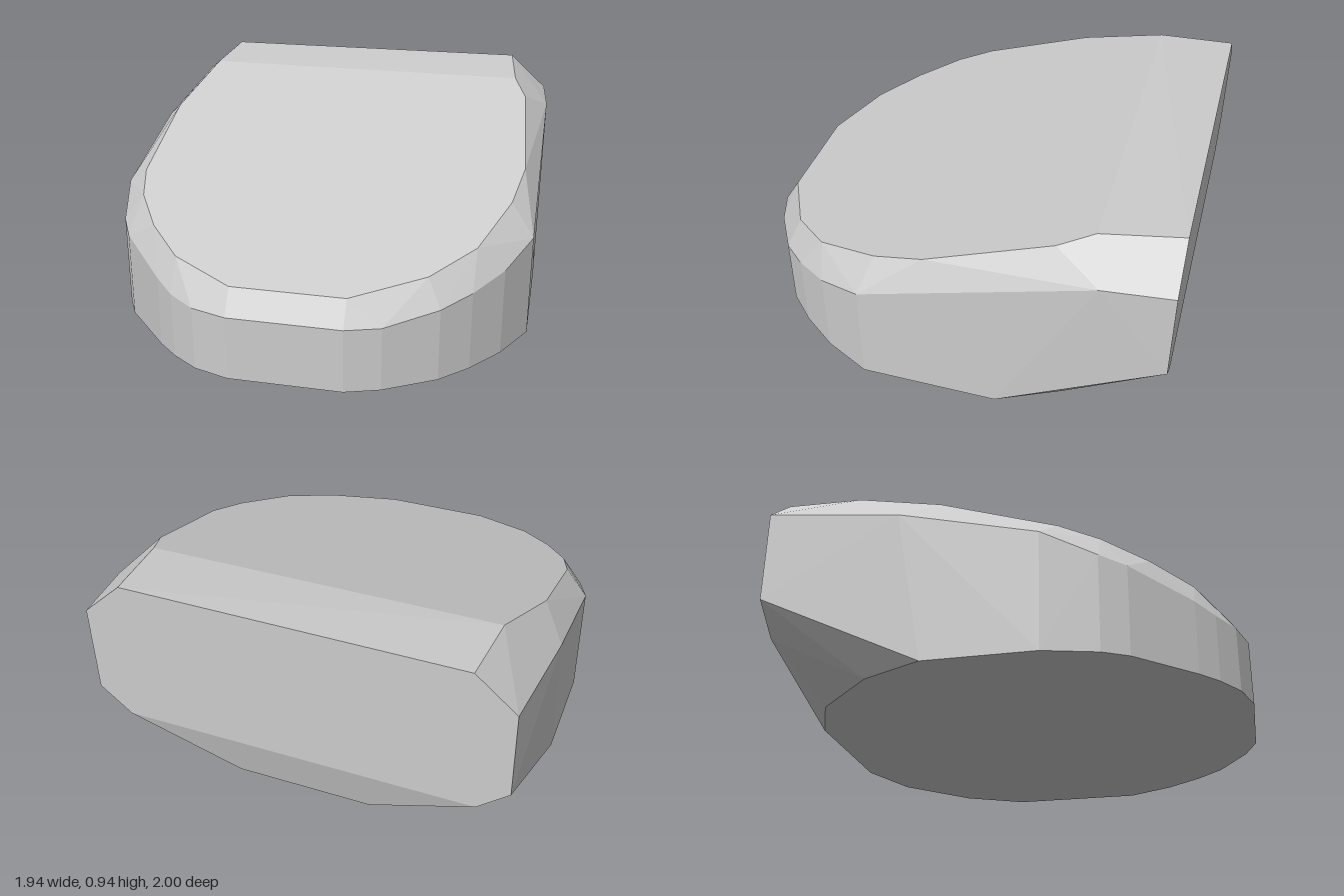
import * as THREE from 'three';
import { ConvexGeometry } from 'three/addons/geometries/ConvexGeometry.js';

// Height of the sloping top plane at depth z
const slopeY = (z) => 0.91 - 0.323 * (z + 0.65);

export function createModel() {
  const points = [];
  const add = (x, y, z) => points.push(new THREE.Vector3(x, y, z));

  // Edge of the sloping top: x, z
  [
    [-0.78, -0.65], [-0.865, -0.25], [-0.86, 0.26], [-0.81, 0.43], [-0.69, 0.62],
    [-0.53, 0.79], [-0.25, 0.93], [0.25, 0.93], [0.56, 0.77], [0.74, 0.58],
    [0.86, 0.28], [0.9, 0.05], [0.86, -0.5], [0.8, -0.65],
  ].forEach(([x, z]) => add(x, slopeY(z), z));

  // Upright wall around the front: x, z, height where the bevel starts
  [
    [-0.975, -0.4, 0.68], [-0.97, 0.2, 0.53], [-0.91, 0.43, 0.43], [-0.85, 0.54, 0.4],
    [-0.62, 0.79, 0.33], [-0.53, 0.87, 0.3], [-0.41, 0.95, 0.29], [-0.25, 1, 0.29],
    [0.25, 1, 0.29], [0.4, 0.95, 0.29], [0.62, 0.82, 0.33], [0.74, 0.7, 0.36],
    [0.86, 0.54, 0.4], [0.965, 0.33, 0.47],
  ].forEach(([x, z, y]) => {
    add(x, y, z);
    if (z > 0) add(x, 0, z);
  });
  add(0.965, 0.77, -0.7);

  // Back face, and the rounded rear of the base below its cut corners
  for (const s of [-1, 1]) {
    add(s * 0.76, 0.935 + s * 0.004, -1);
    add(s * 0.94, 0.775, -1);
    add(s * 0.94, 0.36, -1);
    add(s * 0.8, 0.24, -1);
    add(s * 0.31, 0, -0.93);
    add(s * 0.58, 0, -0.82);
    add(s * 0.84, 0, -0.55);
    add(s * 0.967, 0, -0.28);
  }

  const body = new THREE.Mesh(
    new ConvexGeometry(points),
    new THREE.MeshStandardMaterial({ color: 0xcccccc, flatShading: true })
  );
  body.name = 'wedgeBody';

  const group = new THREE.Group();
  group.name = 'bevelledWedge';
  group.add(body);
  return group;
}
